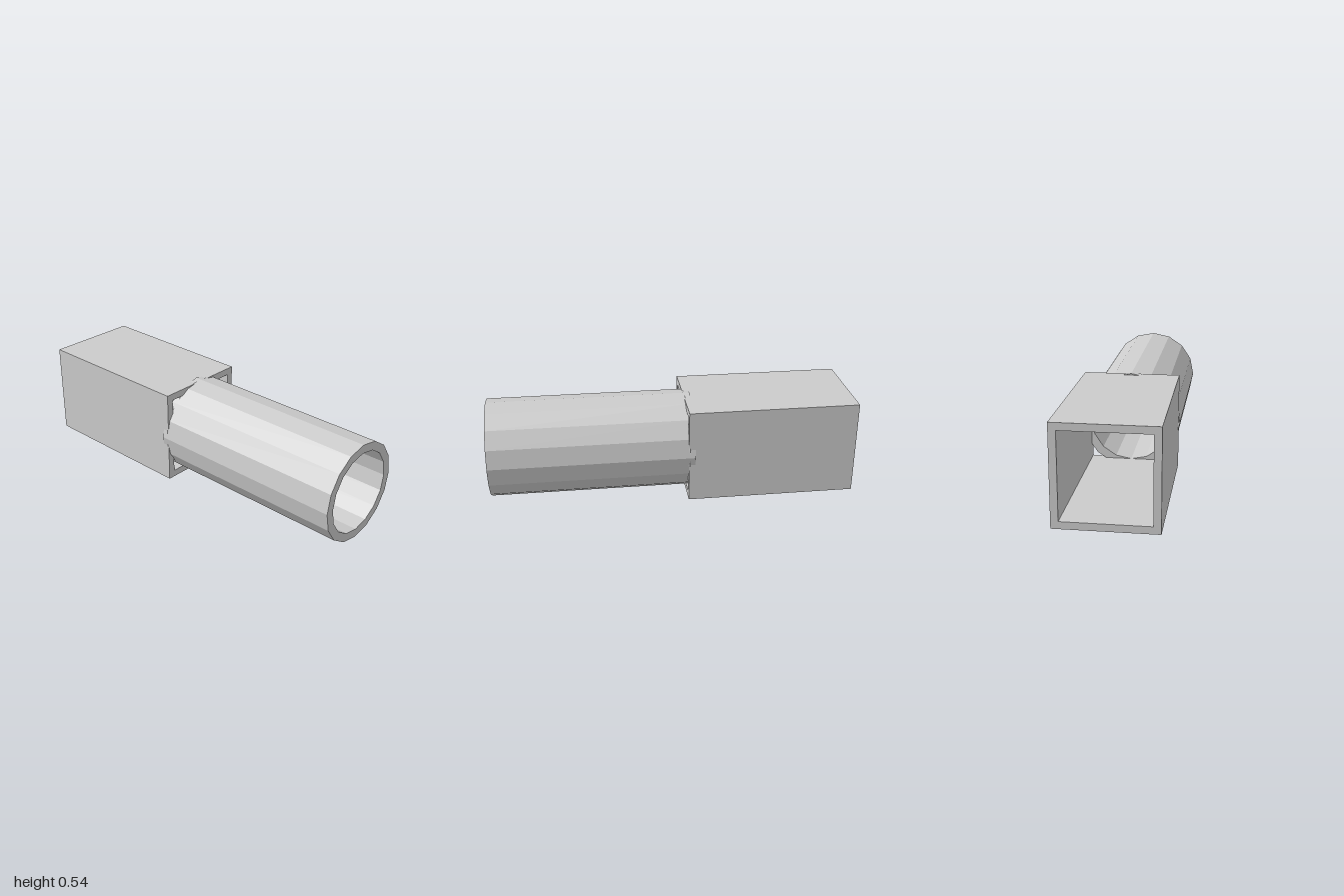
import * as THREE from 'three';

const CY = 0.269; // height of the shared axis
const material = new THREE.MeshStandardMaterial({ color: 0xcccccc, flatShading: true });

// closed polygon with corners at the given radius
function polygon(PathType, radius, sides, turn = 0) {
  const points = [];
  for (let i = 0; i < sides; i++) {
    const a = turn + (i / sides) * Math.PI * 2;
    points.push(new THREE.Vector2(Math.cos(a) * radius, Math.sin(a) * radius));
  }
  return new PathType(points);
}

// hollow prism running along z from back to front
function hollowBar(name, sides, outer, inner, turn, back, front) {
  const shape = polygon(THREE.Shape, outer, sides, turn);
  shape.holes.push(polygon(THREE.Path, inner, sides, turn));
  const geometry = new THREE.ExtrudeGeometry(shape, { depth: front - back, bevelEnabled: false });
  const mesh = new THREE.Mesh(geometry, material);
  mesh.name = name;
  mesh.position.set(0, CY, back);
  return mesh;
}

export function createModel() {
  const group = new THREE.Group();
  group.name = 'roundToSquareTube';

  // sixteen-sided pipe, its end slipped slightly into the square tube
  group.add(hollowBar('roundTube', 16, 0.269, 0.222, 0, -0.11, 1));

  // square tube
  const d = Math.SQRT2;
  group.add(hollowBar('squareTube', 4, 0.26 * d, 0.222 * d, Math.PI / 4, -1, -0.075));

  // thin weld bead at the joint, barely proud of the pipe's flats
  const weld = new THREE.Mesh(new THREE.TorusGeometry(0.246, 0.021, 8, 32), material);
  weld.name = 'weldBead';
  weld.position.set(0, CY, -0.08);
  group.add(weld);

  return group;
}
